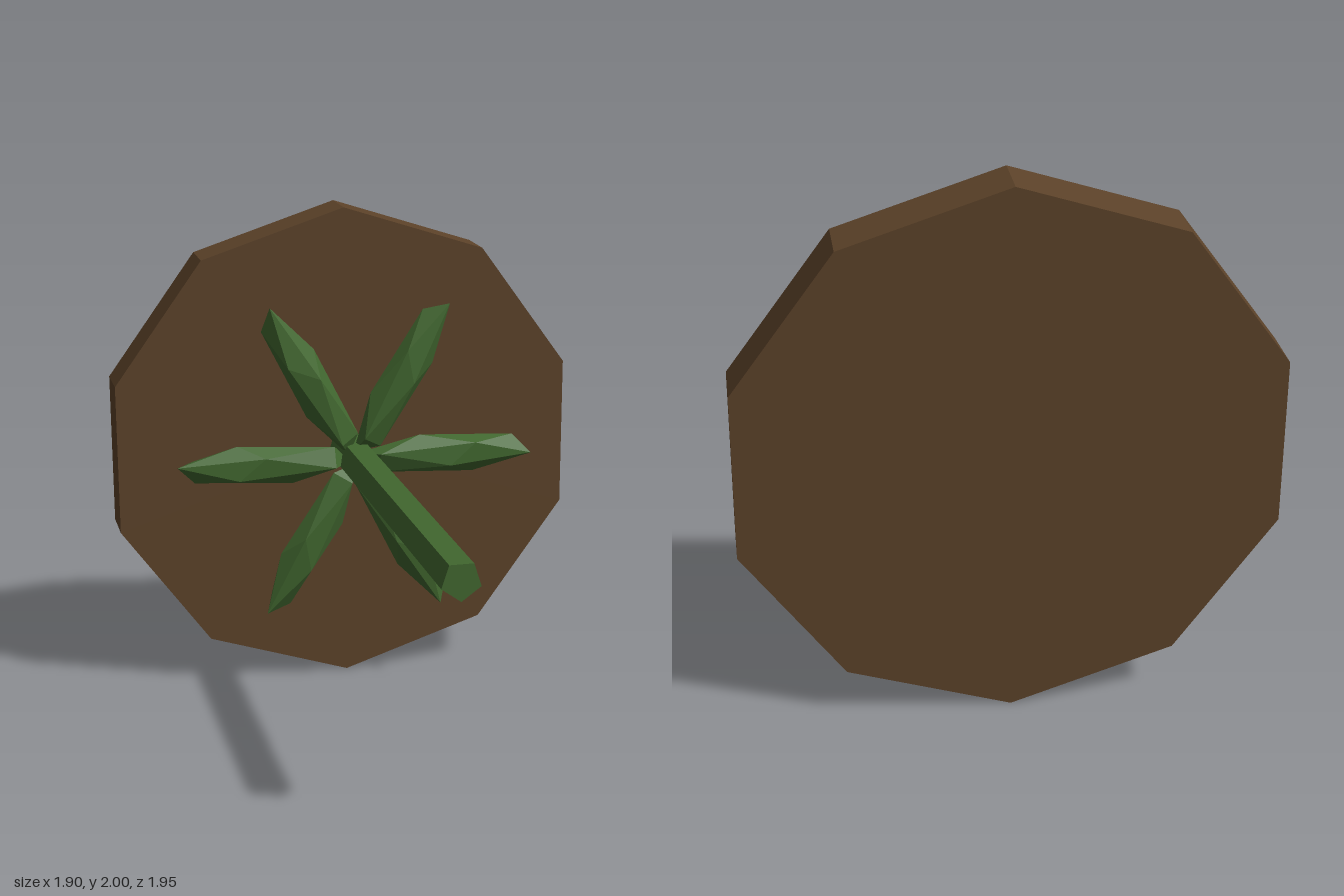
import * as THREE from 'three';

export function createModel() {
  const model = new THREE.Group();
  const brown = new THREE.MeshStandardMaterial({ color: 0x5c4229, flatShading: true });
  const green = new THREE.MeshStandardMaterial({ color: 0x41672f, flatShading: true });

  // Low-poly rod lying along z, with one corner pointing down
  function rod(name, radius, sides, zBack, zFront, material) {
    const geometry = new THREE.CylinderGeometry(radius, radius, zFront - zBack, sides);
    geometry.rotateX(Math.PI / 2);
    const mesh = new THREE.Mesh(geometry, material);
    mesh.name = name;
    mesh.position.set(0, 1, (zBack + zFront) / 2);
    model.add(mesh);
  }

  rod('soilDisc', 1, 10, -0.975, -0.78, brown);
  rod('stem', 0.075, 5, -0.8, 0.975, green);

  // Leaf: an icosahedron turned off-axis, then stretched outwards
  const leafGeometry = new THREE.IcosahedronGeometry(1, 0);
  leafGeometry.rotateY(THREE.MathUtils.degToRad(57.5));
  leafGeometry.rotateX(THREE.MathUtils.degToRad(207.4));
  leafGeometry.scale(0.4, 0.088, 0.067);
  leafGeometry.translate(0.38, 0, 0);
  leafGeometry.computeVertexNormals();

  // Ring of six leaves around the stem
  const leaves = new THREE.Group();
  leaves.name = 'leaves';
  leaves.position.set(0, 1, -0.577);
  for (let i = 0; i < 6; i++) {
    const leaf = new THREE.Mesh(leafGeometry, green);
    leaf.name = 'leaf';
    leaf.rotation.z = (i * Math.PI) / 3;
    leaves.add(leaf);
  }
  model.add(leaves);

  return model;
}
